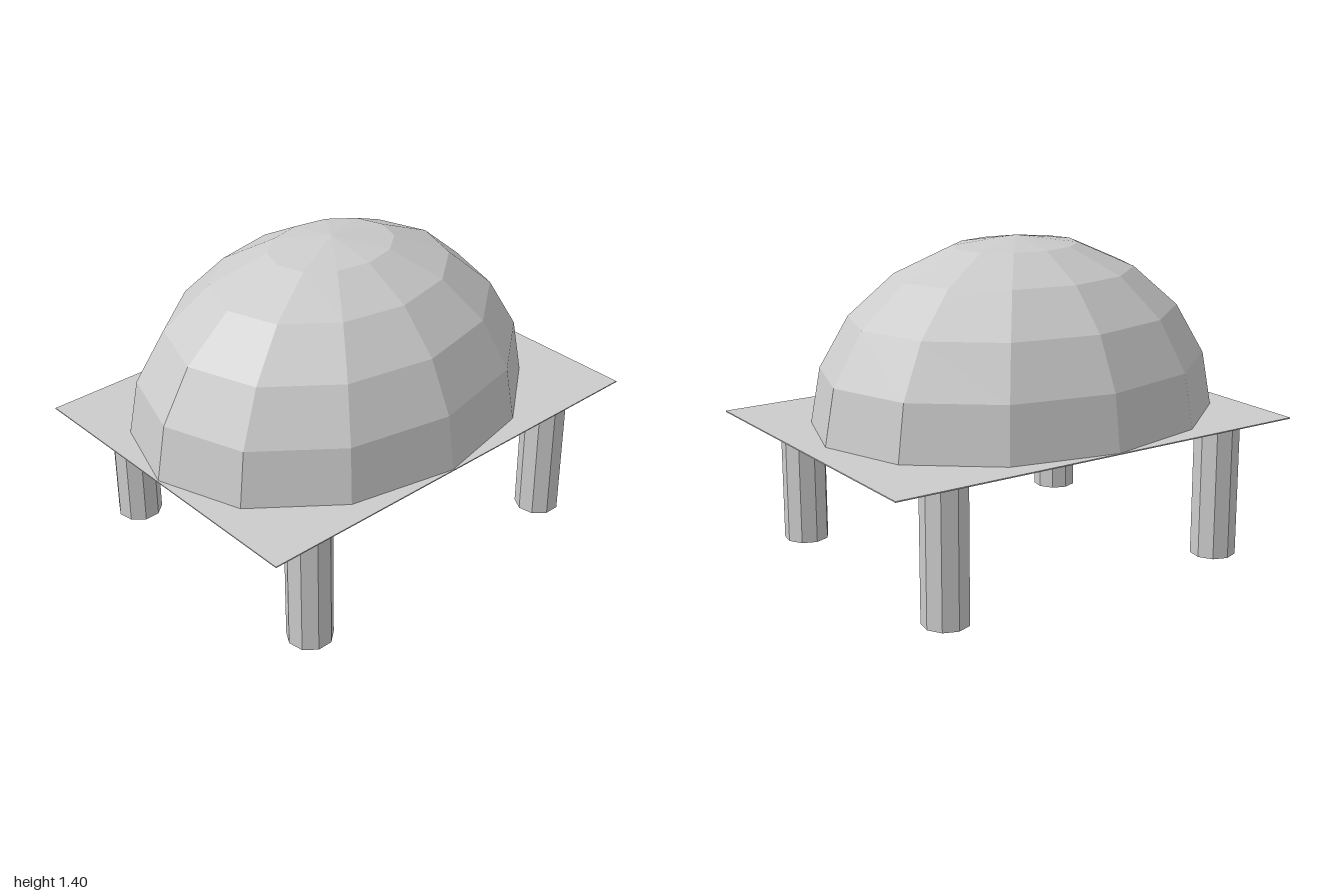
import * as THREE from 'three';

const SIDES = 12;
const DOME = { x: -0.05, y: 0.6, rx: 0.945, ry: 0.8, rz: 0.748 };

export function createModel() {
  const group = new THREE.Group();
  const solid = new THREE.MeshStandardMaterial({ color: 0xcccccc, flatShading: true });
  const shell = new THREE.MeshStandardMaterial({ color: 0xcccccc, flatShading: true, side: THREE.DoubleSide });

  const add = (name, geometry, material) => {
    const mesh = new THREE.Mesh(geometry, material);
    mesh.name = name;
    group.add(mesh);
    return mesh;
  };

  // Hollow faceted dome, open underneath
  const domeGeometry = new THREE.SphereGeometry(1, SIDES, 5, 0, Math.PI * 2, 0, Math.PI / 2);
  domeGeometry.scale(DOME.rx, DOME.ry, DOME.rz);
  add('dome', domeGeometry, shell).position.set(DOME.x, DOME.y, 0);

  // Thin rectangular plate, cut out to the dome's outline
  const outline = new THREE.Shape([
    new THREE.Vector2(-1, -0.75), new THREE.Vector2(1, -0.75),
    new THREE.Vector2(1, 0.75), new THREE.Vector2(-1, 0.75),
  ]);
  const rim = [];
  for (let i = 0; i < SIDES; i++) {
    const a = (-i / SIDES) * Math.PI * 2;
    rim.push(new THREE.Vector2(DOME.x + Math.cos(a) * DOME.rx * 0.998, Math.sin(a) * DOME.rz * 0.998));
  }
  outline.holes.push(new THREE.Path(rim));
  const plateGeometry = new THREE.ExtrudeGeometry(outline, { depth: 0.005, bevelEnabled: false });
  plateGeometry.rotateX(-Math.PI / 2);
  add('plate', plateGeometry, shell).position.y = DOME.y;

  // Four nine-sided legs
  const legGeometry = new THREE.CylinderGeometry(0.1, 0.1, 0.602, 9);
  legGeometry.rotateY(Math.PI);
  for (const [side, x] of [['Left', 0.7], ['Right', -0.7]]) {
    for (const [end, z] of [['front', 0.59], ['back', -0.607]]) {
      add(`${end}${side}Leg`, legGeometry, solid).position.set(x, 0.301, z);
    }
  }

  return group;
}
